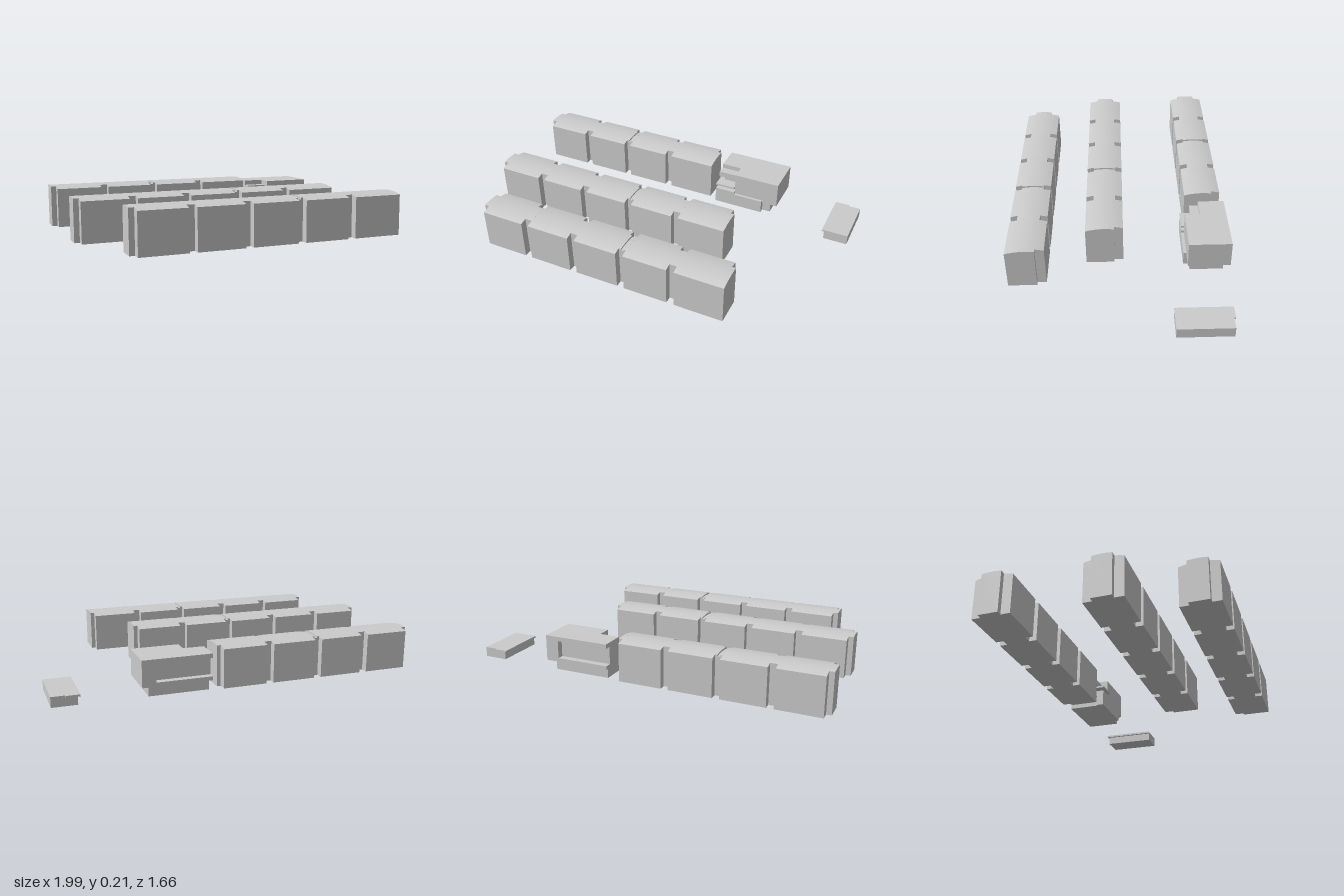
import * as THREE from 'three';
import { toCreasedNormals } from 'three/addons/utils/BufferGeometryUtils.js';

const ANGLE = Math.atan2(0.47, 0.883);
const WIDTH = 0.188, EAVE = 0.2, RISE = 0.013;
const UNIT = 0.23, JOINT = 0.0375, NOTCH = 0.037;
const grey = new THREE.MeshStandardMaterial({ color: 0xcccccc });

// Everything sits on the same skewed site grid: u runs along a row, v across it
function siteGroup(name, x, z) {
  const g = new THREE.Group();
  g.name = name;
  g.position.set(x, 0, z);
  g.rotation.y = -ANGLE;
  return g;
}

function box(parent, name, u0, u1, y0, y1, v0, v1) {
  const m = new THREE.Mesh(new THREE.BoxGeometry(u1 - u0, y1 - y0, v1 - v0), grey);
  m.position.set((u0 + u1) / 2, (y0 + y1) / 2, (v0 + v1) / 2);
  m.name = name;
  parent.add(m);
}

// Piece of terrace from u0 to u1, v0 to v1, under the shared arched roof
function archedPiece(parent, name, u0, u1, v0, v1, drop = 0) {
  const s = new THREE.Shape();
  s.moveTo(-v1, 0);
  s.lineTo(-v0, 0);
  const n = 12;
  for (let i = 0; i <= n; i++) {
    const v = v0 + (v1 - v0) * i / n;
    const t = (v - WIDTH / 2) / (WIDTH / 2);
    s.lineTo(-v, EAVE + RISE * (1 - t * t) - drop);
  }
  s.closePath();
  const geo = new THREE.ExtrudeGeometry(s, { depth: u1 - u0, bevelEnabled: false });
  geo.rotateY(Math.PI / 2);
  const m = new THREE.Mesh(toCreasedNormals(geo, 0.4), grey);
  m.position.x = u0;
  m.name = name;
  parent.add(m);
}

// Terrace row: equal units joined by narrower necks, one neck split by a seam
function terrace(name, x, z, count, seamAfter) {
  const row = siteGroup(name, x, z);
  const pitch = UNIT + JOINT;
  for (let i = 0; i < count; i++) {
    const u = i * pitch, end = u + UNIT;
    archedPiece(row, 'unit', u, end, 0, WIDTH);
    if (i === count - 1) continue;
    if (i + 1 === seamAfter) {
      archedPiece(row, 'seamNeck', end, end + 0.012, NOTCH, WIDTH - NOTCH);
      archedPiece(row, 'seam', end + 0.012, end + 0.026, NOTCH, WIDTH - NOTCH, 0.008);
      archedPiece(row, 'seamNeck', end + 0.026, end + JOINT, NOTCH, WIDTH - NOTCH);
    } else {
      archedPiece(row, 'neck', end, end + JOINT, NOTCH, WIDTH - NOTCH);
    }
  }
  // Shallow end bays
  const length = count * pitch - JOINT;
  archedPiece(row, 'startBay', -0.026, 0, 0.045, 0.142);
  archedPiece(row, 'endBay', length, length + 0.02, 0.045, WIDTH);
  return row;
}

// Two-storey hall: upper floor overhangs the base, with a long recess at the back
function hall() {
  const g = siteGroup('hall', 0.326, -0.329);
  const L = 0.353, D = 0.213, CUT_U = 0.108, CUT_V = 0.135, R = 0.035;
  box(g, 'base', 0.01, 0.315, 0, 0.055, 0.03, 0.2);
  box(g, 'frontPlinth', 0, 0.27, 0, 0.055, 0.19, 0.228);
  // Upper floor
  box(g, 'upperFloorRear', 0, L, 0.055, 0.19, R, CUT_V);
  box(g, 'upperFloorFront', CUT_U, L, 0.055, 0.19, CUT_V, D);
  // Frame round the recess
  box(g, 'recessSill', 0, L, 0.055, 0.075, 0, R);
  box(g, 'recessLintel', 0, L, 0.167, 0.19, 0, R);
  box(g, 'recessPier', L - 0.07, L, 0.075, 0.167, 0, R);
  // Stepped terraces in the cut corner
  box(g, 'lowerTerrace', 0, CUT_U, 0.055, 0.085, CUT_V, 0.228);
  box(g, 'terraceRail', 0, CUT_U, 0.105, 0.115, CUT_V, 0.228);
  box(g, 'upperTerrace', 0, CUT_U, 0.135, 0.165, CUT_V, 0.18);
  box(g, 'terraceWall', 0.03, CUT_U, 0.085, 0.135, CUT_V, 0.17);
  box(g, 'frontLedge', CUT_U, 0.27, 0.055, 0.07, D, 0.228);
  return g;
}

// Low outbuilding with a thin roof overhanging one side
function outbuilding() {
  const g = siteGroup('outbuilding', 0.877, -0.008);
  box(g, 'walls', 0.012, 0.137, 0, 0.042, 0.008, 0.277);
  box(g, 'roof', 0, 0.07, 0.042, 0.052, 0, 0.277);
  box(g, 'roof', 0.07, 0.137, 0.042, 0.052, 0.008, 0.277);
  return g;
}

export function createModel() {
  const model = new THREE.Group();
  model.name = 'terracedSite';
  model.add(
    terrace('backTerrace', -0.647, -0.83, 4, 2),
    terrace('middleTerrace', -0.872, -0.366, 5, 3),
    terrace('frontTerrace', -0.909, 0.045, 5, 3),
    hall(),
    outbuilding(),
  );
  return model;
}
